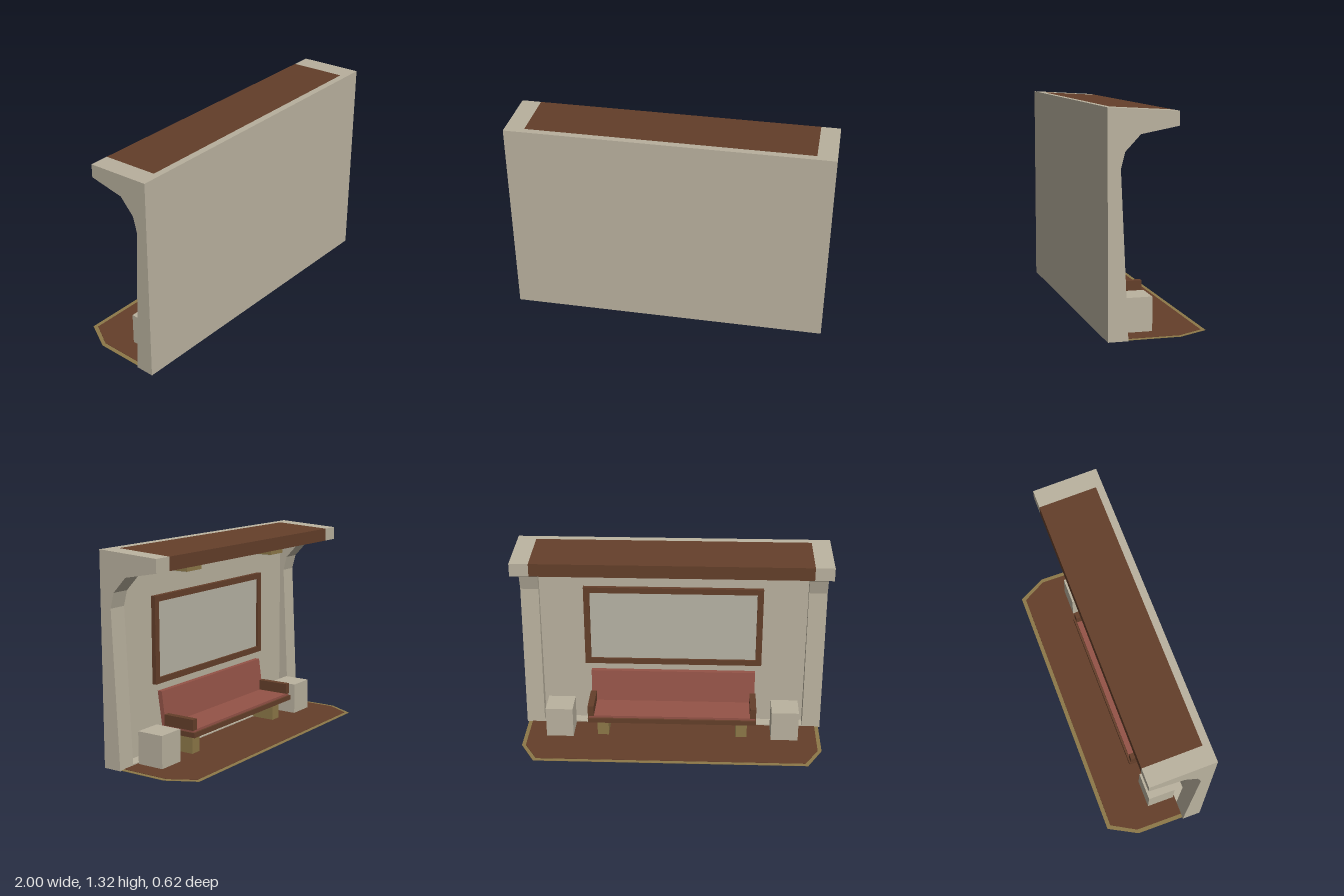
import * as THREE from 'three';

const mat = (name, color) => {
  const m = new THREE.MeshStandardMaterial({ color });
  m.name = name;
  return m;
};

export function createModel() {
  const plaster = mat('plaster', 0xbab29f);
  const wood = mat('brown wood', 0x643f2a);
  const tan = mat('tan trim', 0x8d7848);
  const cushionRed = mat('red cushion', 0x945347);
  const panel = mat('pale panel', 0xb8b4a5);

  const root = new THREE.Group();
  root.name = 'shelter';

  const add = (name, geometry, material) => {
    const mesh = new THREE.Mesh(geometry, material);
    mesh.name = name;
    root.add(mesh);
    return mesh;
  };

  // Box given by its limits on each axis
  const box = (name, material, [x0, x1], [y0, y1], [z0, z1]) => {
    const mesh = add(name, new THREE.BoxGeometry(x1 - x0, y1 - y0, z1 - z0), material);
    mesh.position.set((x0 + x1) / 2, (y0 + y1) / 2, (z0 + z1) / 2);
    return mesh;
  };

  // Profile of [z, y] points extruded along x
  const profile = (name, material, points, x0, x1) => {
    const shape = new THREE.Shape(points.map(([z, y]) => new THREE.Vector2(-z, y)));
    const g = new THREE.ExtrudeGeometry(shape, { depth: x1 - x0, bevelEnabled: false });
    g.rotateY(Math.PI / 2).translate(x0, 0, 0);
    return add(name, g, material);
  };

  // Flat plate from [x, z] points, lying from y0 to y1
  const plate = (name, material, points, y0, y1) => {
    const shape = new THREE.Shape(points.map(([x, z]) => new THREE.Vector2(x, -z)));
    const g = new THREE.ExtrudeGeometry(shape, { depth: y1 - y0, bevelEnabled: false });
    g.rotateX(-Math.PI / 2).translate(0, y0, 0);
    return add(name, g, material);
  };

  // Wall and its footing
  profile('wall', plaster, [[0.31, 0], [0.31, 1.315], [0.265, 1.312], [0.265, 0]], -0.88, 0.88);
  box('footing', plaster, [-0.88, 0.88], [0, 0.012], [0.19, 0.27]);

  // Curved end ribs
  const rib = [
    [0.31, 0], [0.31, 1.315], [-0.105, 1.29], [-0.105, 1.207],
    [0.12, 1.165], [0.21, 1.07], [0.235, 0.975], [0.19, 0],
  ];
  profile('leftRib', plaster, rib, 0.88, 1);
  profile('rightRib', plaster, rib, -1, -0.88);

  // Roof and ceiling
  profile('roof', wood, [[0.265, 1.312], [-0.105, 1.29], [-0.105, 1.207], [0.265, 1.207]], -0.88, 0.88);
  box('ceilingPanel', plaster, [-0.86, 0.86], [1.201, 1.208], [-0.075, 0.265]);

  // Floor mat with a contrasting border
  const matOutline = (inset) => {
    const w = 0.99 - inset, c = 0.89 - inset * 0.6, f = -0.31 + inset;
    return [[-w, 0.19], [w, 0.19], [w, -0.125], [c, f], [-c, f], [-w, -0.125]];
  };
  plate('matBorder', tan, matOutline(0), 0.001, 0.003);
  plate('matCentre', wood, matOutline(0.026), 0.002, 0.005);

  // Framed board on the wall
  const frameShape = new THREE.Shape([
    [-0.59, 0.437], [0.59, 0.437], [0.59, 0.99], [-0.59, 0.99],
  ].map((p) => new THREE.Vector2(...p)));
  frameShape.holes.push(new THREE.Path([
    [-0.55, 0.475], [-0.55, 0.952], [0.55, 0.952], [0.55, 0.475],
  ].map((p) => new THREE.Vector2(...p))));
  const frame = new THREE.ExtrudeGeometry(frameShape, { depth: 0.03, bevelEnabled: false });
  add('boardFrame', frame.translate(0, 0, 0.236), wood);
  box('boardPanel', panel, [-0.555, 0.555], [0.47, 0.957], [0.25, 0.266]);

  // Bench seat and reclined back
  box('benchBase', wood, [-0.557, 0.557], [0.13, 0.162], [-0.03, 0.195]);
  box('seatCushion', cushionRed, [-0.55, 0.55], [0.16, 0.177], [-0.017, 0.2]);
  profile('backCushion', cushionRed,
    [[0.225, 0.162], [0.257, 0.388], [0.225, 0.388], [0.195, 0.162]], -0.55, 0.55);

  // Mirrored parts
  for (const [side, s] of [['left', 1], ['right', -1]]) {
    const span = (a, b) => (s > 0 ? [a, b] : [-b, -a]);
    box(`${side}Armrest`, wood, span(0.517, 0.557), [0.175, 0.245], [-0.02, 0.2]);
    box(`${side}BenchLeg`, tan, span(0.425, 0.5), [0.003, 0.131], [0.03, 0.195]);
    box(`${side}SideTable`, plaster, span(0.66, 0.84), [0, 0.21], [0, 0.18]);
    box(`${side}LampHousing`, tan, span(0.39, 0.535), [1.15, 1.205], [0.03, 0.175]);
    box(`${side}LampGlass`, panel, span(0.4, 0.525), [1.145, 1.151], [0.04, 0.165]);
  }

  return root;
}
